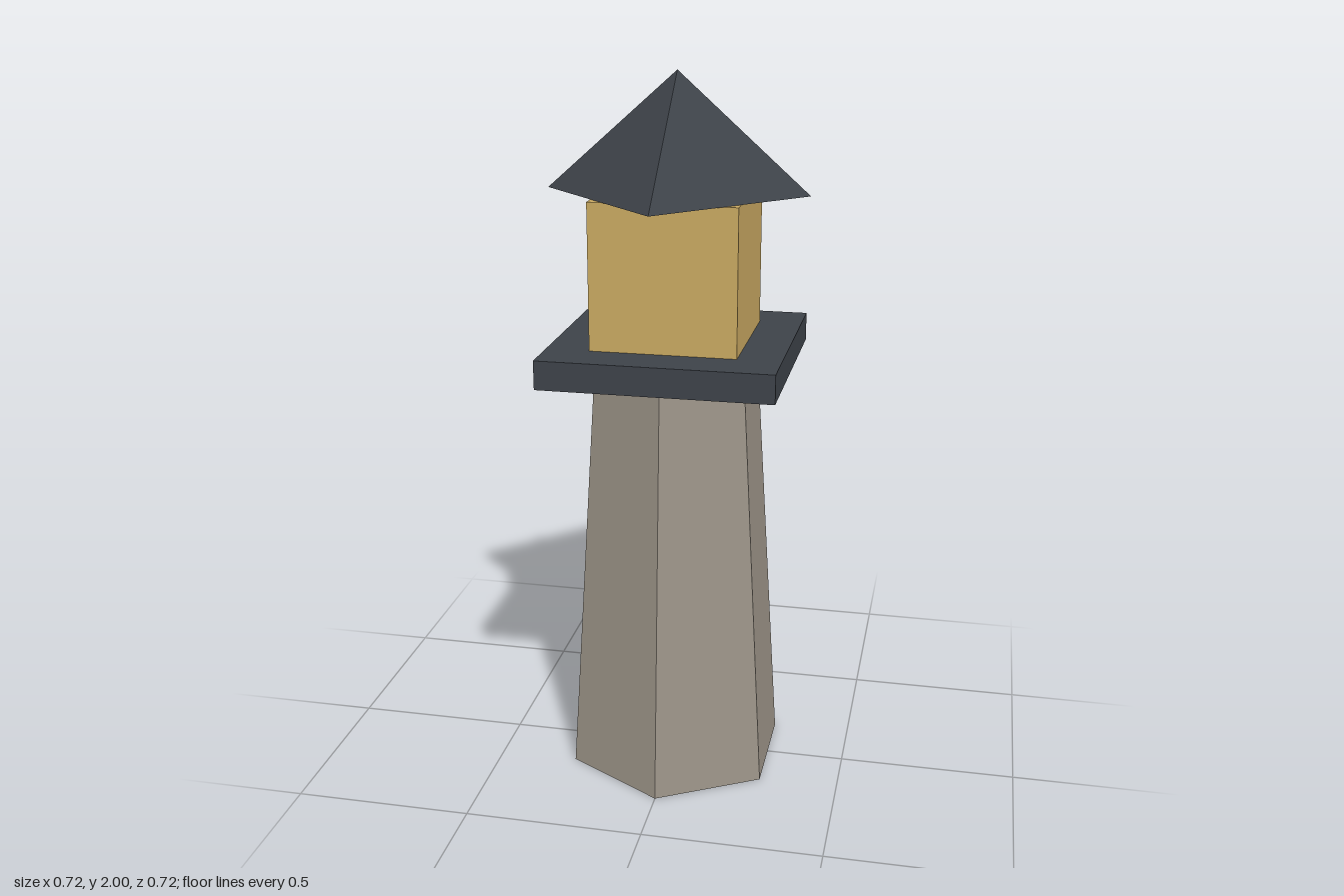
import * as THREE from 'three';

const flat = (name, color) => {
  const m = new THREE.MeshStandardMaterial({ color, flatShading: true });
  m.name = name;
  return m;
};

export function createModel() {
  const stone = flat('stone', 0x9c9488);
  const slate = flat('slate', 0x3d4249);
  const glow = flat('lanternYellow', 0xc9a962);

  const tower = new THREE.Group();
  tower.name = 'watchtower';

  // Adds a part whose underside rests at the given height
  const add = (name, geometry, material, bottom, height) => {
    const mesh = new THREE.Mesh(geometry, material);
    mesh.name = name;
    mesh.position.y = bottom + height / 2;
    tower.add(mesh);
  };

  // Tapered six-sided shaft, with corners on the z axis
  add('shaft', new THREE.CylinderGeometry(0.24, 0.32, 1.2, 6), stone, 0, 1.2);
  // Square gallery slab
  add('gallery', new THREE.BoxGeometry(0.64, 0.08, 0.64), slate, 1.2, 0.08);
  // Lantern room
  add('lanternRoom', new THREE.BoxGeometry(0.4, 0.4, 0.4), glow, 1.28, 0.4);
  // Pyramid roof, turned 45 degrees to the lantern room
  add('roof', new THREE.ConeGeometry(0.36, 0.32, 4), slate, 1.68, 0.32);

  return tower;
}
